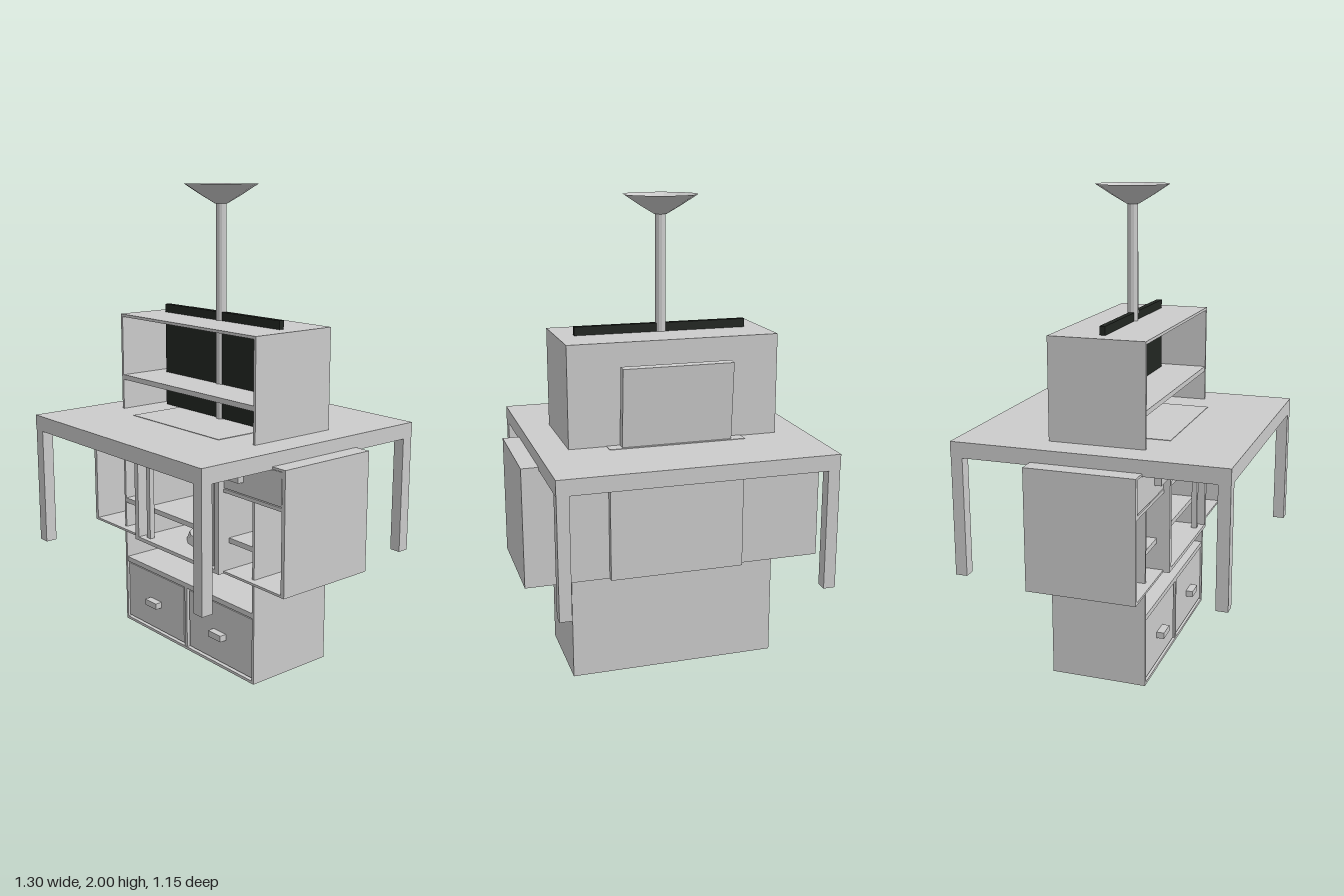
import * as THREE from 'three';

const wood = new THREE.MeshStandardMaterial({ color: 0xcccccc, flatShading: true });
const woodOpen = new THREE.MeshStandardMaterial({ color: 0xcccccc, flatShading: true, side: THREE.DoubleSide });
const dark = new THREE.MeshStandardMaterial({ color: 0x222622 });

// Box given by its min and max on each axis
function box(parent, name, [x0, x1], [y0, y1], [z0, z1], material = wood) {
  const mesh = new THREE.Mesh(new THREE.BoxGeometry(x1 - x0, y1 - y0, z1 - z0), material);
  mesh.position.set((x0 + x1) / 2, (y0 + y1) / 2, (z0 + z1) / 2);
  mesh.name = name;
  parent.add(mesh);
  return mesh;
}

// Open-fronted carcass: sides, back, top and bottom boards
function carcass(parent, w, y0, y1, d, side, board) {
  for (const s of [-1, 1]) {
    const xs = [s * w, s * (w - side)].sort((a, b) => a - b);
    box(parent, 'sidePanel', xs, [y0, y1], [-d, d]);
  }
  const inner = [-w + side, w - side];
  box(parent, 'backPanel', inner, [y0, y1], [-d, -d + 0.012]);
  box(parent, 'topBoard', inner, [y1 - board, y1], [-d + 0.012, d]);
  box(parent, 'bottomBoard', inner, [y0, y0 + board], [-d + 0.012, d]);
}

function group(root, name) {
  const g = new THREE.Group();
  g.name = name;
  root.add(g);
  return g;
}

function lathe(parent, name, points, sides, material) {
  const pts = points.map(([r, y]) => new THREE.Vector2(r, y));
  const mesh = new THREE.Mesh(new THREE.LatheGeometry(pts, sides), material);
  mesh.name = name;
  parent.add(mesh);
}

export function createModel() {
  const root = new THREE.Group();

  // Tall bookcase with two drawers at the bottom
  const bookcase = group(root, 'bookcase');
  carcass(bookcase, 0.447, 0, 1.437, 0.203, 0.012, 0.012);
  for (const y of [0.296, 0.58, 0.867, 1.154]) {
    box(bookcase, 'shelf', [-0.435, 0.435], [y - 0.011, y + 0.011], [-0.191, 0.201]);
  }
  box(bookcase, 'drawerDivider', [-0.008, 0.008], [0.012, 0.285], [-0.191, 0.201]);
  for (const s of [-1, 1]) {
    const x = s * 0.225;
    box(bookcase, 'bookcaseDrawer', [x - 0.205, x + 0.205], [0.02, 0.278], [-0.18, 0.196]);
    box(bookcase, 'bookcaseHandle', [x - 0.04, x + 0.04], [0.13, 0.157], [0.195, 0.228]);
  }

  // Square table
  const table = group(root, 'table');
  box(table, 'tableTop', [-0.576, 0.576], [0.945, 1.011], [-0.576, 0.576]);
  for (const x of [-0.55, 0.55]) for (const z of [-0.55, 0.55]) {
    box(table, 'tableLeg', [x - 0.025, x + 0.025], [0.44, 0.945], [z - 0.025, z + 0.025]);
  }

  // Wide sideboard: two drawers over an open compartment
  const sideboard = group(root, 'sideboard');
  carcass(sideboard, 0.648, 0.444, 0.957, 0.23, 0.018, 0.01);
  box(sideboard, 'drawerShelf', [-0.63, 0.63], [0.79, 0.805], [-0.218, 0.23]);
  for (const s of [-1, 1]) {
    const x = s * 0.315;
    box(sideboard, 'sideboardDrawer', [x - 0.311, x + 0.311], [0.808, 0.945], [-0.2, 0.228]);
    box(sideboard, 'sideboardHandle', [s * 0.325 - 0.082, s * 0.325 + 0.082], [0.857, 0.893], [0.225, 0.255]);
  }

  // Nightstand with one drawer and an open compartment
  const stand = group(root, 'nightstand');
  carcass(stand, 0.29, 0.444, 1.013, 0.257, 0.025, 0.016);
  box(stand, 'drawerShelf', [-0.265, 0.265], [0.835, 0.85], [-0.245, 0.257]);
  box(stand, 'nightstandDrawer', [-0.26, 0.26], [0.853, 0.995], [-0.23, 0.255]);
  box(stand, 'nightstandHandle', [-0.04, 0.04], [0.92, 0.95], [0.25, 0.273]);

  // Chair with a leaning backrest
  const chair = group(root, 'chair');
  box(chair, 'seat', [-0.234, 0.234], [0.79, 0.83], [-0.234, 0.234]);
  for (const x of [-0.222, 0.222]) for (const z of [-0.222, 0.222]) {
    box(chair, 'chairLeg', [x - 0.012, x + 0.012], [0.446, 0.79], [z - 0.012, z + 0.012]);
  }
  const back = box(chair, 'backrest', [-0.234, 0.234], [0.825, 1.343], [-0.253, -0.215]);
  back.rotation.x = -0.075;
  back.position.z = -0.231;

  // Thin dark screen
  box(root, 'screen', [-0.372, 0.372], [1.016, 1.473], [-0.012, 0.012], dark);

  // Floor lamp: tapered base, pole and open dish
  const lamp = group(root, 'floorLamp');
  lathe(lamp, 'lampBase', [[0, 0.444], [0.155, 0.444], [0.153, 0.462], [0.14, 0.497], [0, 0.497]], 16, wood);
  lathe(lamp, 'lampPole', [[0.022, 0.49], [0.023, 1.57], [0.022, 1.925], [0, 1.925]], 12, wood);
  lathe(lamp, 'lampDish', [[0, 1.918], [0.026, 1.92], [0.085, 1.955], [0.155, 2]], 16, woodOpen);

  return root;
}
